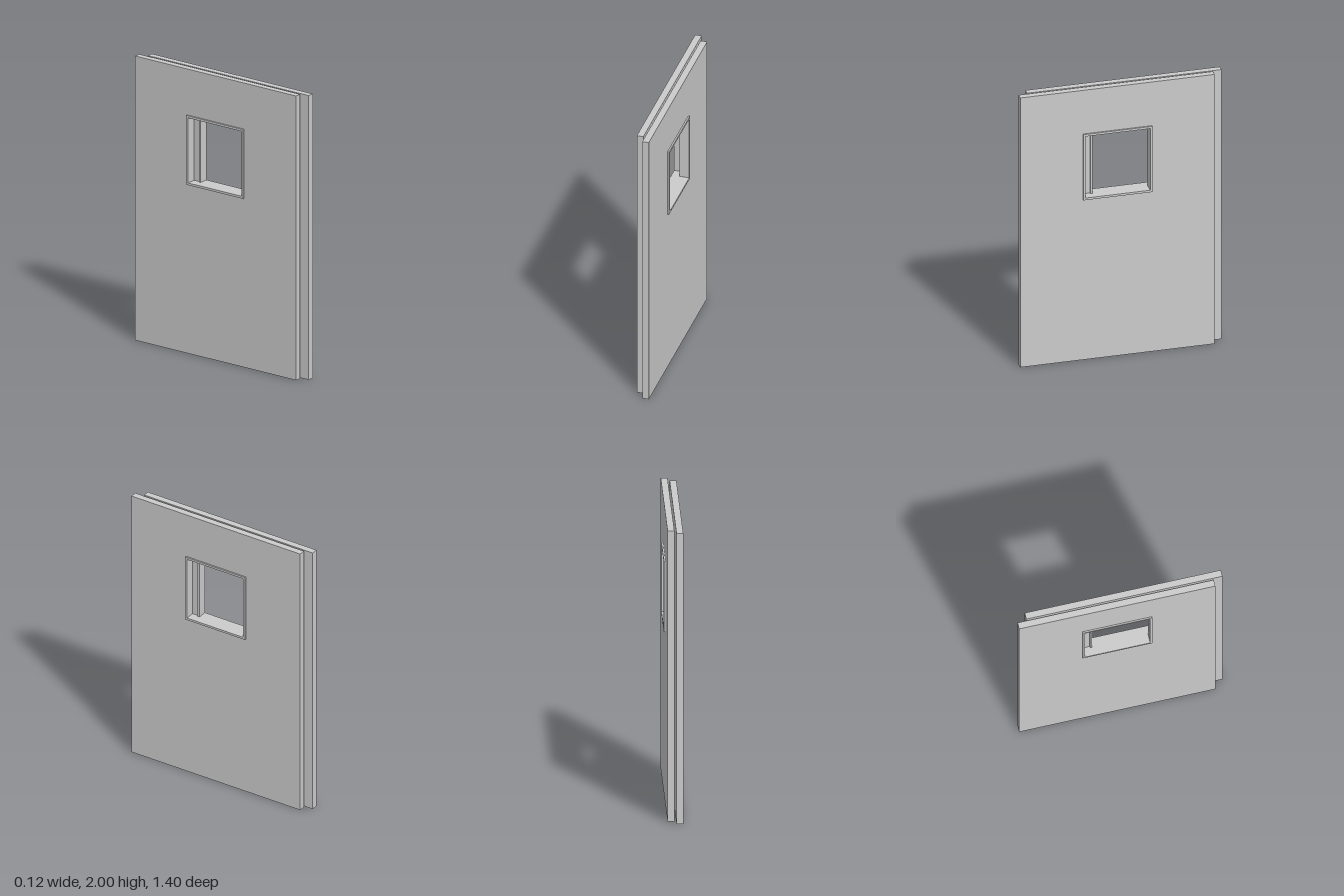
import * as THREE from 'three';

const material = new THREE.MeshStandardMaterial({ color: 0xcccccc });
const WINDOW_Y = 1.432;

// Corners of a centred rectangle
const corners = (w, h, y) => [
  new THREE.Vector2(-w / 2, y - h / 2), new THREE.Vector2(w / 2, y - h / 2),
  new THREE.Vector2(w / 2, y + h / 2), new THREE.Vector2(-w / 2, y + h / 2),
];

// Rectangular slab with a rectangular opening, spanning x0..x1 in thickness
function slab(name, outer, hole, x0, x1) {
  const shape = new THREE.Shape(corners(...outer));
  shape.holes.push(new THREE.Path(corners(...hole)));
  const geometry = new THREE.ExtrudeGeometry(shape, { depth: x1 - x0, bevelEnabled: false });
  geometry.rotateY(Math.PI / 2).translate(x0, 0, 0);
  const mesh = new THREE.Mesh(geometry, material);
  mesh.name = name;
  return mesh;
}

// One sliding door leaf: panel plus a window frame standing proud on both faces
function doorLeaf(name) {
  const leaf = new THREE.Group();
  leaf.name = name;
  const frameOuter = [0.474, 0.488, WINDOW_Y];
  const frameInner = [0.445, 0.457, WINDOW_Y];
  const panel = slab('doorPanel', [1.338, 2, 1], frameOuter, 0.006, 0.051);
  const frame = slab('windowFrame', frameOuter, frameInner, -0.005, 0.0615);
  for (const part of [panel, frame]) {
    part.position.z = 0.031;
    leaf.add(part);
  }
  return leaf;
}

export function createModel() {
  const model = new THREE.Group();
  model.name = 'slidingDoors';
  const left = doorLeaf('leftDoor');
  // The second leaf is the first turned half way round
  const right = doorLeaf('rightDoor');
  right.rotation.y = Math.PI;
  model.add(left, right);
  return model;
}
